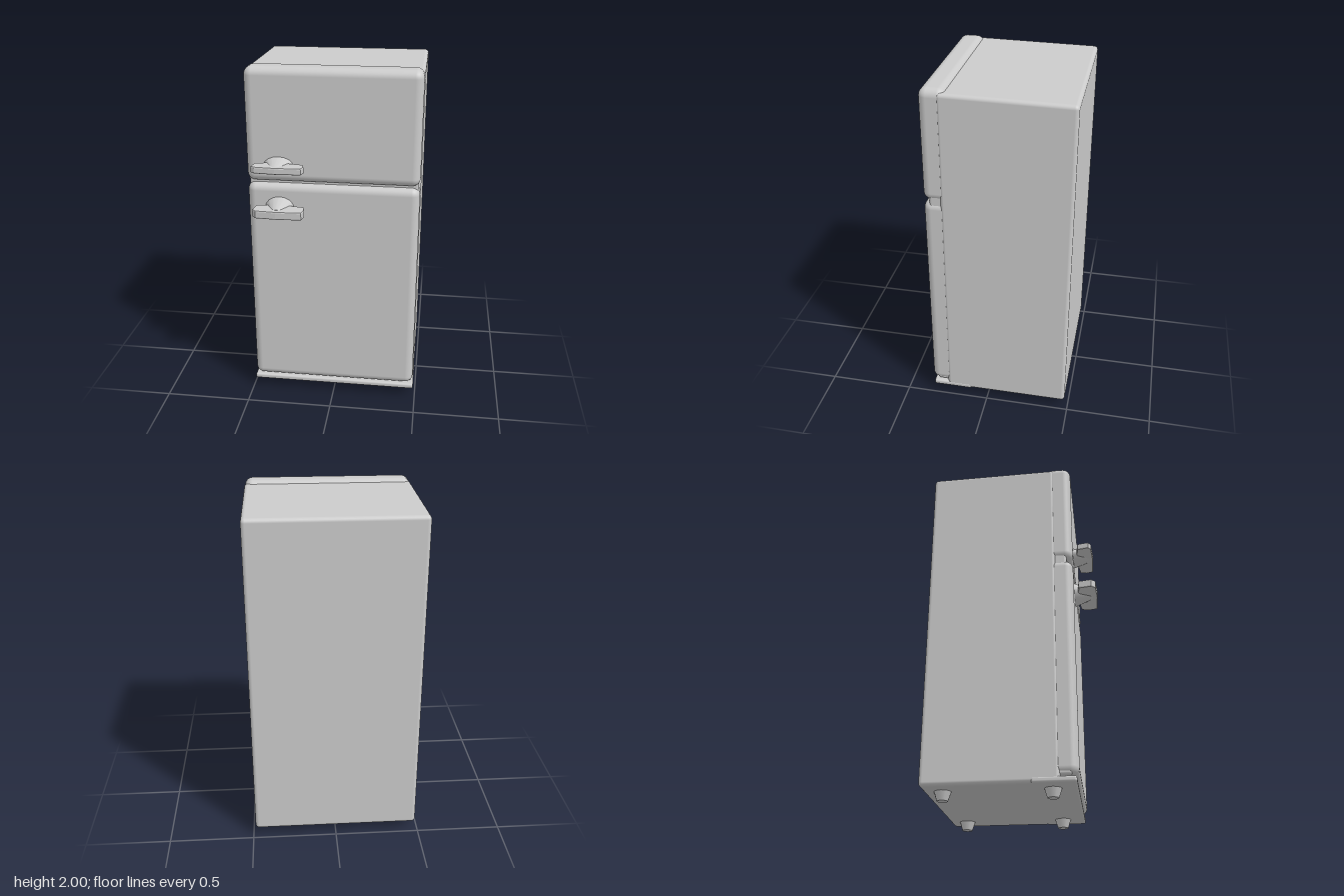
import * as THREE from 'three';
import { RoundedBoxGeometry } from 'three/addons/geometries/RoundedBoxGeometry.js';

export function createModel() {
  const group = new THREE.Group();
  const enamel = new THREE.MeshStandardMaterial({ color: 0xcccccc });
  enamel.name = 'pale grey enamel';

  const add = (name, geometry, x = 0, y = 0, z = 0) => {
    const mesh = new THREE.Mesh(geometry, enamel);
    mesh.name = name;
    mesh.position.set(x, y, z);
    group.add(mesh);
    return mesh;
  };
  // Rounded block given by its y and z limits, centred on x
  const block = (name, width, y0, y1, z0, z1, radius) =>
    add(name, new RoundedBoxGeometry(width, y1 - y0, z1 - z0, 4, radius), 0, (y0 + y1) / 2, (z0 + z1) / 2);

  // Cabinet, its top sloping down slightly to the back
  const cabinet = block('cabinet', 0.972, 0.05, 1.982, -0.48, 0.25, 0.022);
  const p = cabinet.geometry.attributes.position;
  for (let i = 0; i < p.count; i++) {
    if (p.getY(i) > 0) p.setY(i, p.getY(i) + (p.getZ(i) - 0.36) * 0.014);
  }
  cabinet.geometry.computeBoundingSphere();

  // Door seal, visible in the gap between the doors
  block('doorSeal', 0.95, 0.09, 1.95, 0.2, 0.312, 0.015);

  // Doors and the lip below them
  block('freezerDoor', 0.966, 1.36, 2.0, 0.2, 0.347, 0.045);
  block('fridgeDoor', 0.966, 0.09, 1.35, 0.2, 0.347, 0.045);
  block('kickPlate', 0.976, 0.05, 0.082, 0.1, 0.335, 0.012);

  // Feet
  for (const x of [-0.36, 0.36]) {
    for (const z of [0.205, -0.375]) {
      add('foot', new THREE.CylinderGeometry(0.05, 0.03, 0.06, 12), x, 0.03, z);
    }
  }

  // Handle grip: a flat bar with slanted ends, thinner towards its front edge
  const handle = (name, y, front, thick, mountHeight) => {
    const back = 0.37, mid = (back + front) / 2;
    const plan = new THREE.Shape([
      [-0.425, back + 0.005], [-0.3, back - 0.012], [-0.158, back + 0.01], [-0.147, mid],
      [-0.158, front - 0.01], [-0.3, front - 0.004], [-0.415, front - 0.012], [-0.437, mid + 0.02],
    ].map(([x, z]) => new THREE.Vector2(x, -z)));
    const bevel = 0.008;
    const bar = new THREE.ExtrudeGeometry(plan, {
      depth: thick - 2 * bevel, bevelEnabled: true, bevelThickness: bevel,
      bevelSize: bevel, bevelOffset: -bevel, bevelSegments: 2,
    });
    bar.translate(0, 0, -thick / 2 + bevel);
    bar.rotateX(-Math.PI / 2);
    add(name + 'Grip', bar, 0, y, 0);

    // Mount: a cone narrowing from the door to the grip
    const mount = new THREE.CylinderGeometry(0.35, 1, 0.13, 16);
    mount.rotateX(Math.PI / 2);
    mount.scale(0.095, mountHeight / 2, 1);
    add(name + 'Mount', mount, -0.3, y, 0.385);
  };
  handle('freezerHandle', 1.462, 0.465, 0.04, 0.11);
  handle('fridgeHandle', 1.21, 0.482, 0.048, 0.15);

  return group;
}
